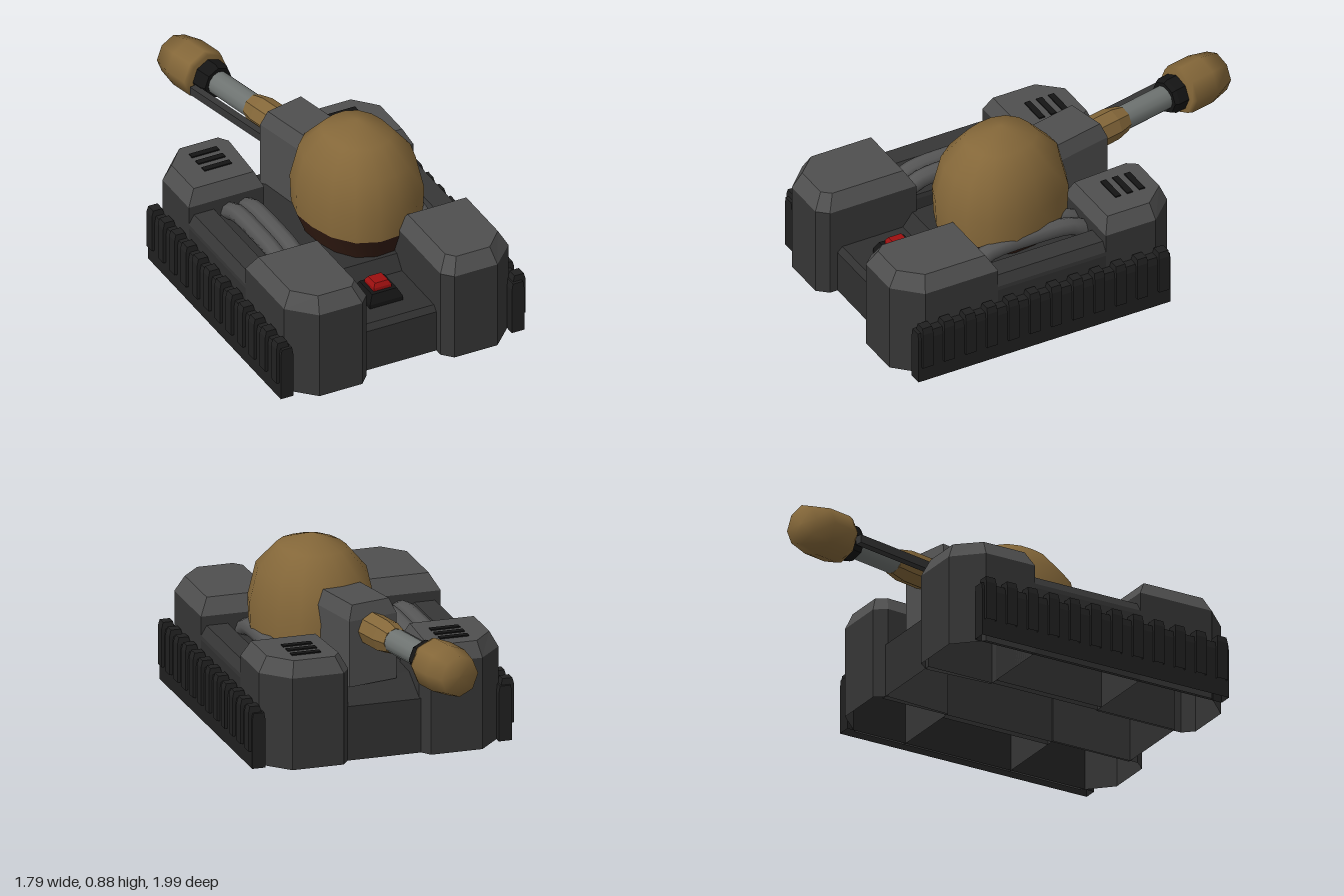
import * as THREE from 'three';
import { mergeVertices } from 'three/addons/utils/BufferGeometryUtils.js';

const mat = (color, flatShading = true) =>
  new THREE.MeshStandardMaterial({ color, flatShading, side: THREE.DoubleSide });
const ARMOUR = mat(0x4f4f4f), WALL = mat(0x363636), DECK = mat(0x303030), TRACK = mat(0x202020), BLACK = mat(0x141414);
const STEEL = mat(0x6e7371, false), PIPE = mat(0x565656, false), BRASS = mat(0x846739);
const BRASS_SMOOTH = mat(0x846739, false), UMBER = mat(0x321b12, false), RED = mat(0x9c0f0f);

function add(parent, name, geometry, material, x = 0, y = 0, z = 0) {
  const mesh = new THREE.Mesh(geometry, material);
  mesh.name = name;
  mesh.position.set(x, y, z);
  parent.add(mesh);
  return mesh;
}

const box = (w, h, d) => new THREE.BoxGeometry(w, h, d);

// Stack of convex plan outlines [x, z], one per level { y, ring }, open below
function loft(levels, capped = true) {
  const area = levels[0].ring.reduce((s, p, i, r) => {
    const q = r[(i + 1) % r.length];
    return s + p[0] * q[1] - q[0] * p[1];
  }, 0);
  const rings = levels.map(({ y, ring }) => {
    const pts = ring.map(([x, z]) => [x, y, z]);
    return area > 0 ? pts.reverse() : pts;
  });
  const pos = [], n = rings[0].length;
  const tri = (a, b, c) => pos.push(...a, ...b, ...c);
  for (let k = 0; k < rings.length - 1; k++) {
    for (let i = 0; i < n; i++) {
      const j = (i + 1) % n, lo = rings[k], hi = rings[k + 1];
      tri(lo[i], lo[j], hi[j]);
      tri(lo[i], hi[j], hi[i]);
    }
  }
  const top = rings[rings.length - 1];
  if (capped) for (let i = 1; i < n - 1; i++) tri(top[0], top[i], top[i + 1]);
  const g = new THREE.BufferGeometry();
  g.setAttribute('position', new THREE.Float32BufferAttribute(pos, 3));
  g.computeVertexNormals();
  return g;
}

// Outline drawn in about its middle
function shrink(ring, sx, sz) {
  const xs = ring.map(p => p[0]), zs = ring.map(p => p[1]);
  const cx = (Math.min(...xs) + Math.max(...xs)) / 2, cz = (Math.min(...zs) + Math.max(...zs)) / 2;
  return ring.map(([x, z]) => [cx + (x - cx) * sx, cz + (z - cz) * sz]);
}

// Upright prism whose top is drawn in by a bevel
const bevelled = (ring, y0, y1, y2, sx, sz = sx) =>
  loft([{ y: y0, ring }, { y: y1, ring }, { y: y2, ring: shrink(ring, sx, sz) }]);

const rect = (x0, x1, z0, z1) => [[x0, z0], [x0, z1], [x1, z1], [x1, z0]];

// Corner pod: dark walls under a lighter bevelled cap
function addPod(parent, name, ring, sx, sz) {
  const pod = new THREE.Group();
  pod.name = name;
  add(pod, 'podWalls', loft([{ y: 0, ring }, { y: 0.44, ring }], false), WALL);
  add(pod, 'podCap', loft([{ y: 0.44, ring }, { y: 0.515, ring: shrink(ring, sx, sz) }]), ARMOUR);
  parent.add(pod);
}

// Round part turned about the z axis; profile is [radius, z] from back to front
function turned(profile, sides) {
  return new THREE.LatheGeometry(profile.map(([r, z]) => new THREE.Vector2(r, z)), sides).rotateX(Math.PI / 2);
}

function buildSide(s) {
  const side = new THREE.Group();
  side.name = s > 0 ? 'leftSide' : 'rightSide';
  const flip = ring => ring.map(([x, z]) => [s * x, z]);

  addPod(side, 'frontPod', flip([[0.19, 0.22], [0.575, 0.22], [0.575, 0.6], [0.456, 0.72], [0.236, 0.72], [0.19, 0.67]]), 0.78, 0.82);
  addPod(side, 'rearPod', flip([[0.19, -0.34], [0.575, -0.34], [0.575, -0.6], [0.456, -0.725], [0.21, -0.725], [0.17, -0.67]]), 0.8, 0.84);

  // Vent slots on the rear pod
  for (let i = -1; i <= 1; i++) add(side, 'ventSlot', box(0.14, 0.012, 0.03), BLACK, s * 0.355, 0.515, -0.55 + i * 0.062);

  // Side hull between the pods, with a raised outer rail and exposed pipes
  add(side, 'sideHull', bevelled(flip(rect(0.235, 0.575, -0.34, 0.22)), 0, 0.33, 0.35, 0.97, 1), DECK);
  add(side, 'sideRail', bevelled(flip(rect(0.42, 0.575, -0.34, 0.22)), 0.33, 0.35, 0.395, 0.65, 1), WALL);
  for (const x of [0.285, 0.37]) {
    const curve = new THREE.CatmullRomCurve3([[0.35, -0.36], [0.395, -0.27], [0.408, -0.06], [0.395, 0.15], [0.35, 0.24]]
      .map(([y, z]) => new THREE.Vector3(s * x, y, z)));
    add(side, 'pipe', new THREE.TubeGeometry(curve, 12, 0.042, 8), PIPE);
  }

  // Track skirt with evenly spaced cleats
  add(side, 'trackSkirt', bevelled(flip(rect(0.56, 0.624, -0.65, 0.662)), 0, 0.23, 0.265, 0.8, 1), TRACK);
  const cleat = bevelled(flip(rect(0.575, 0.638, -0.027, 0.027)), 0.08, 0.265, 0.295, 0.75, 0.9);
  for (let i = 0; i < 12; i++) add(side, 'trackCleat', cleat, TRACK, 0, 0, -0.61 + i * 1.23 / 11);
  return side;
}

// Central hull cut to its side profile (z, y), open below
function centralHull() {
  const outline = new THREE.Shape([[0.63, 0], [0.63, 0.21], [0.605, 0.235], [0.29, 0.235], [0.24, 0.3], [-0.5, 0.33],
    [-0.68, 0.26], [-0.68, 0]].map(([z, y]) => new THREE.Vector2(z, y)));
  const solid = new THREE.ExtrudeGeometry(outline, { depth: 0.4, bevelEnabled: false })
    .translate(0, 0, -0.2).rotateY(-Math.PI / 2);
  const a = solid.attributes.position.array, kept = [];
  for (let i = 0; i < a.length; i += 9) {
    if (Math.max(a[i + 1], a[i + 4], a[i + 7]) > 1e-4) kept.push(...a.slice(i, i + 9));
  }
  const g = new THREE.BufferGeometry();
  g.setAttribute('position', new THREE.Float32BufferAttribute(kept, 3));
  g.computeVertexNormals();
  return g;
}

function buildHull() {
  const hull = new THREE.Group();
  hull.name = 'hull';
  add(hull, 'centralHull', centralHull(), DECK);

  // Front hatch light
  add(hull, 'lightBase', bevelled(rect(-0.085, 0.085, 0.335, 0.505), 0.23, 0.255, 0.295, 0.75), BLACK);
  add(hull, 'lightLens', bevelled(rect(-0.045, 0.045, 0.375, 0.465), 0.29, 0.31, 0.33, 0.75), RED);

  hull.add(buildSide(1), buildSide(-1));
  return hull;
}

// Squared-off oval shell turned about y
function ovalShell(profile) {
  let g = new THREE.LatheGeometry(profile.map(([r, y]) => new THREE.Vector2(r, y)), 16);
  const p = g.attributes.position, n = 2.4;
  for (let i = 0; i < p.count; i++) {
    const x = p.getX(i), z = p.getZ(i), r = Math.hypot(x, z);
    if (r < 1e-6) continue;
    const k = Math.pow(Math.pow(Math.abs(x) / r, n) + Math.pow(Math.abs(z) / r, n), -1 / n);
    p.setX(i, x * k * 0.27);
    p.setZ(i, z * k * 0.315);
  }
  g.deleteAttribute('normal');
  g.deleteAttribute('uv');
  g = mergeVertices(g);
  g.computeVertexNormals();
  return g;
}

function buildTurret() {
  const turret = new THREE.Group();
  turret.name = 'turret';

  // Dome and its dark tapered collar
  add(turret, 'dome', ovalShell([[0.98, 0.41], [1, 0.55], [0.87, 0.715], [0.54, 0.825], [0, 0.885]]), BRASS_SMOOTH);
  add(turret, 'domeCollar', ovalShell([[0.8, 0.28], [0.98, 0.41]]), UMBER);

  // Gun mount
  add(turret, 'gunMount', bevelled(rect(-0.125, 0.125, 0.18, 0.54), 0.32, 0.635, 0.705, 0.78, 0.88), ARMOUR);

  // Gun, from cuff to muzzle
  const gun = new THREE.Group();
  gun.name = 'gun';
  gun.position.y = 0.58;
  add(gun, 'barrelCuff', turned([[0, 0.52], [0.078, 0.52], [0.078, 0.67], [0.062, 0.74], [0, 0.74]], 8), BRASS);
  add(gun, 'barrel', turned([[0.058, 0.6], [0.058, 1.05]], 12), STEEL);
  add(gun, 'muzzleCollar', turned([[0, 0.99], [0.078, 0.99], [0.088, 1.01], [0.088, 1.09], [0, 1.09]], 8), BLACK);
  add(gun, 'muzzle', turned([[0, 1.065], [0.112, 1.065], [0.12, 1.09], [0.12, 1.21], [0.098, 1.31], [0, 1.315]], 8), BRASS_SMOOTH);
  add(gun, 'sideRod', box(0.035, 0.04, 0.54), WALL, 0.1, -0.025, 0.78);
  turret.add(gun);
  return turret;
}

export function createModel() {
  const model = new THREE.Group();
  model.name = 'tank';

  const hull = buildHull();
  hull.position.set(0.01, 0, 0.1);
  hull.rotation.y = 0.574;

  const turret = buildTurret();
  turret.position.set(0.098, 0, -0.003);
  turret.rotation.y = -0.75 * Math.PI;

  model.add(hull, turret);
  return model;
}
